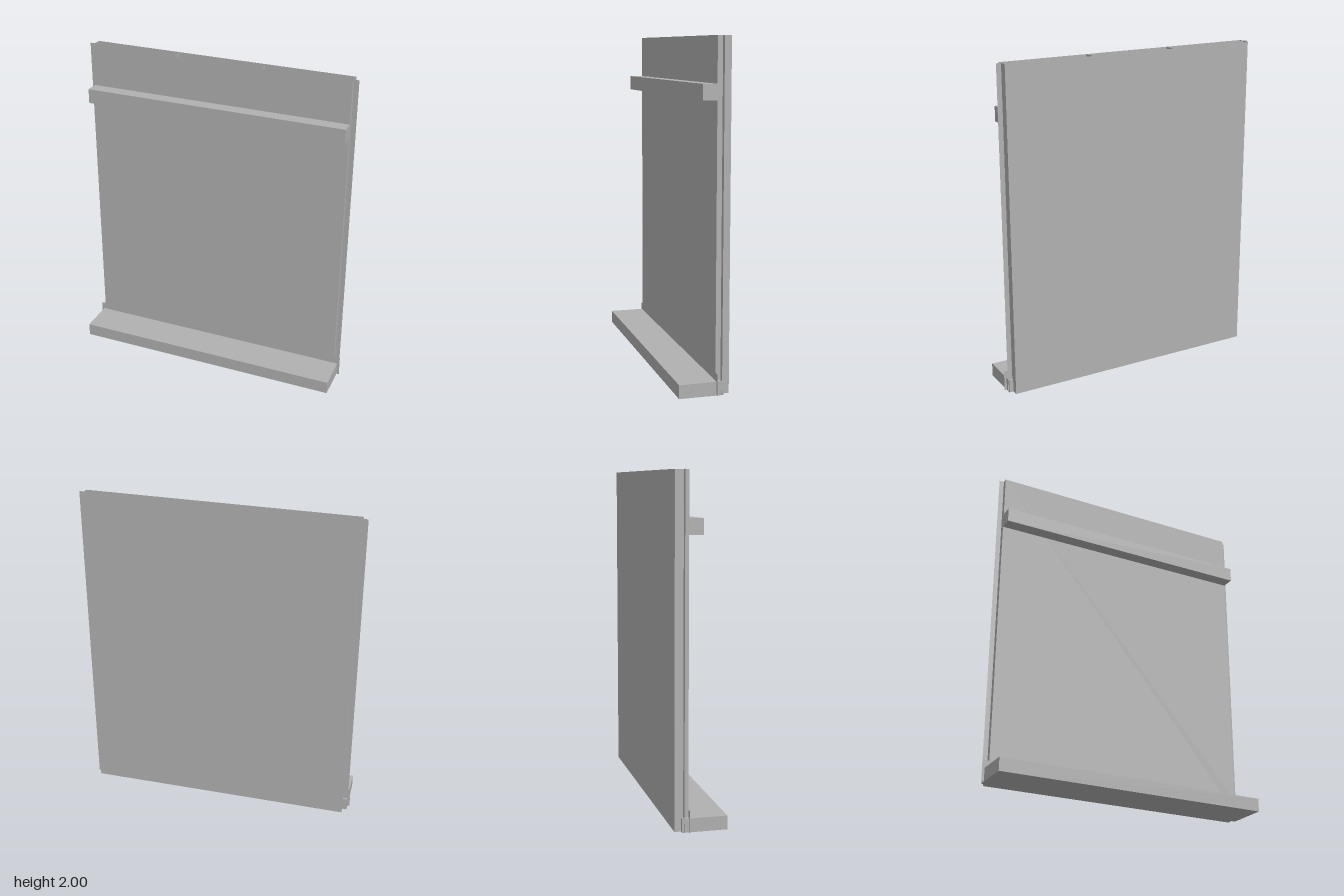
import * as THREE from 'three';

export function createModel() {
  const model = new THREE.Group();
  model.name = 'wallPanel';
  const grey = new THREE.MeshStandardMaterial({ color: 0xb0b0b0, side: THREE.DoubleSide });
  grey.name = 'plain grey';

  const add = (name, geometry, parent = model) => {
    const mesh = new THREE.Mesh(geometry, grey);
    mesh.name = name;
    parent.add(mesh);
    return mesh;
  };
  const box = (name, w, y0, y1, z0, z1) =>
    add(name, new THREE.BoxGeometry(w, y1 - y0, z1 - z0).translate(0, (y0 + y1) / 2, (z0 + z1) / 2));

  const H = 2, halfW = 0.82, front = -0.07, back = -0.15, depth = front - back;

  // Front sheet with small ears at its foot
  const outline = [[0.86, 0], [0.86, 0.125], [halfW, 0.125], [halfW, H],
    [-halfW, H], [-halfW, 0.125], [-0.86, 0.125], [-0.86, 0]];
  const shape = new THREE.Shape(outline.map(([x, y]) => new THREE.Vector2(x, y)));
  add('frontSheet', new THREE.ShapeGeometry(shape).translate(0, 0, front));

  // Back sheet, facing backwards
  add('backSheet', new THREE.PlaneGeometry(2 * halfW, H).rotateY(Math.PI).translate(0, H / 2, back));

  // Bottom plate closing the hollow panel behind the sill; the top stays open
  add('bottomPlate', new THREE.PlaneGeometry(2 * halfW, 0.04).rotateX(Math.PI / 2).translate(0, 0, back + 0.02));

  // End walls and inner ribs divide the panel in thirds
  for (const x of [-halfW, -halfW / 3, halfW / 3, halfW]) {
    const name = Math.abs(x) === halfW ? 'endWall' : 'innerRib';
    add(name, new THREE.PlaneGeometry(depth, H).rotateY(Math.sign(x) * Math.PI / 2)
      .translate(x, H / 2, (front + back) / 2));
  }

  // Thin joining tongues along both ends
  for (const side of [-1, 1]) {
    add(side > 0 ? 'leftTongue' : 'rightTongue',
      new THREE.PlaneGeometry(0.06, H).translate(side * 0.82, H / 2, -0.1));
  }

  // Upper rail and foot sill
  box('upperRail', 2 * halfW, 1.65, 1.74, front, 0.012);
  box('footSill', 1.69, 0, 0.08, -0.112, 0.15);

  return model;
}
